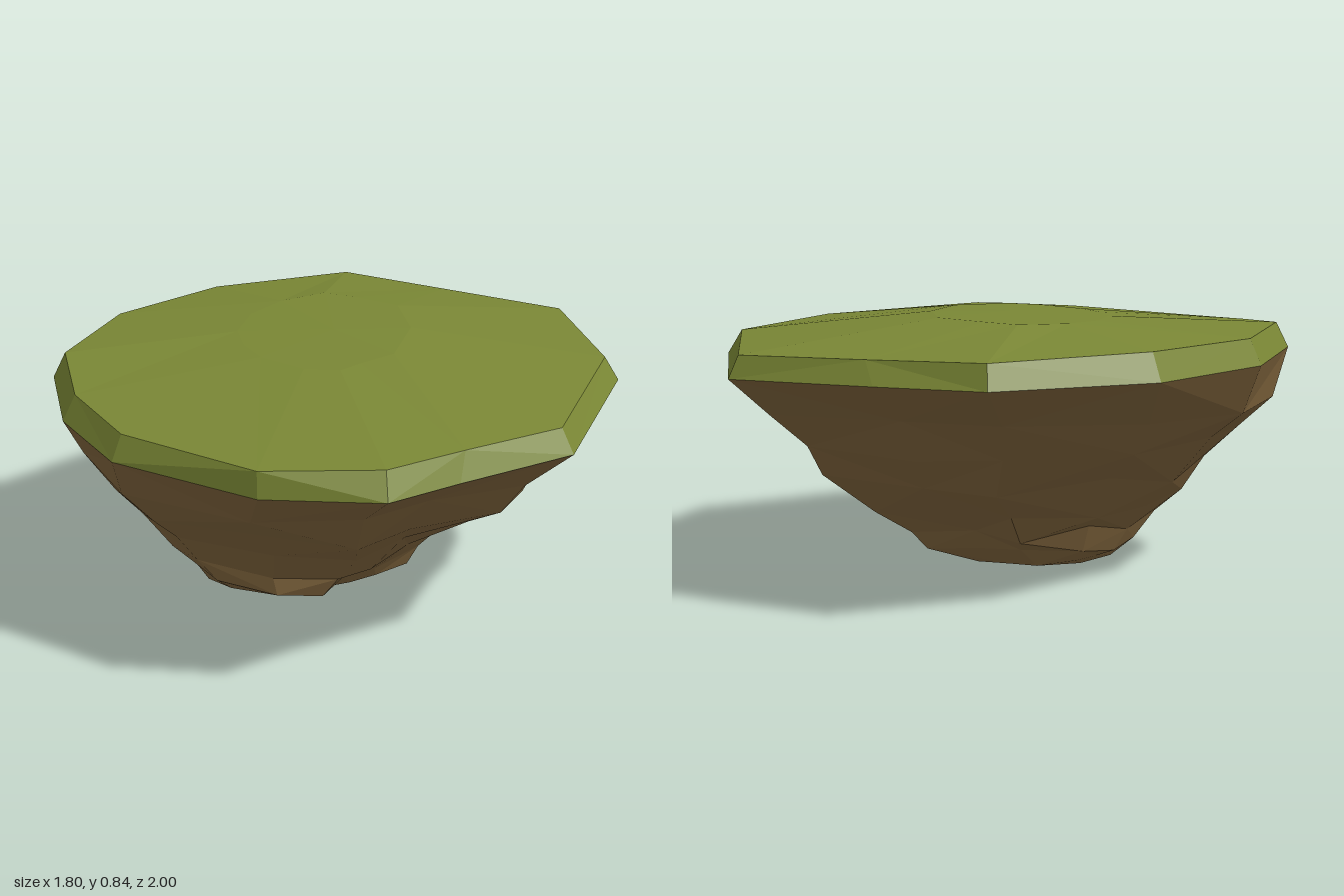
import * as THREE from 'three';

// Rim outline: x, z, lower edge y, upper edge x, upper edge z, upper edge y
const RIM = [
  [0.13, -1.0, 0.70, 0.13, -0.97, 0.775], [0.44, -0.82, 0.695, 0.46, -0.76, 0.765],
  [0.86, -0.53, 0.685, 0.83, -0.52, 0.755], [0.9, 0.07, 0.70, 0.855, 0.06, 0.775],
  [0.62, 0.69, 0.70, 0.59, 0.655, 0.772], [0.26, 0.87, 0.70, 0.28, 0.82, 0.78],
  [0.04, 1.0, 0.705, 0.04, 0.955, 0.785], [-0.31, 0.915, 0.695, -0.31, 0.905, 0.775],
  [-0.71, 0.59, 0.69, -0.68, 0.57, 0.768], [-0.86, 0.27, 0.70, -0.82, 0.26, 0.78],
  [-0.90, -0.08, 0.72, -0.86, -0.08, 0.80], [-0.72, -0.52, 0.71, -0.69, -0.50, 0.79],
  [-0.37, -0.83, 0.70, -0.35, -0.80, 0.785],
];

// Rock levels: y, min x, max x, min z, max z, then lowest and highest x + z (cut corners)
const LEVELS = [
  [0.56, -0.85, 0.77, -0.77, 0.81, -1.2, 1.13], [0.44, -0.75, 0.67, -0.62, 0.67, -0.92, 0.93],
  [0.33, -0.65, 0.61, -0.47, 0.53, -0.72, 0.72], [0.22, -0.57, 0.45, -0.32, 0.41, -0.56, 0.42],
  [0.14, -0.49, 0.33, -0.24, 0.40, -0.45, 0.30], [0.07, -0.44, 0.28, -0.17, 0.24, -0.39, 0.24],
  [0.025, -0.35, 0.11, -0.11, 0.11, -0.32, 0.08],
];

function seeded(seed) {
  return () => {
    seed = (seed * 16807) % 2147483647;
    return seed / 2147483647 * 2 - 1;
  };
}

// Joins rings of points from top to bottom; optional end points close them
function skin(rings, topPoint, bottomPoint) {
  const out = [];
  const n = rings[0].length;
  const tri = (a, b, c) => out.push(...a, ...b, ...c);
  for (let i = 0; i < n; i++) {
    const j = (i + 1) % n;
    for (let k = 0; k < rings.length - 1; k++) {
      const a = rings[k][i], b = rings[k][j], c = rings[k + 1][i], d = rings[k + 1][j];
      if ((i + k) % 2) { tri(a, b, c); tri(b, d, c); }
      else { tri(a, b, d); tri(a, d, c); }
    }
    if (topPoint) tri(topPoint, rings[0][j], rings[0][i]);
    const last = rings[rings.length - 1];
    if (bottomPoint) tri(last[i], last[j], bottomPoint);
  }
  const geo = new THREE.BufferGeometry();
  geo.setAttribute('position', new THREE.Float32BufferAttribute(out, 3));
  geo.computeVertexNormals();
  return geo;
}

function part(name, geo, color) {
  const mesh = new THREE.Mesh(geo, new THREE.MeshStandardMaterial({ color, flatShading: true }));
  mesh.name = name;
  return mesh;
}

export function createModel() {
  const group = new THREE.Group();
  group.name = 'floatingIsland';

  // Grass slab: gentle mound, bevelled rim
  const lower = RIM.map(([x, z, y]) => [x, y, z]);
  const upper = RIM.map(r => [r[3], r[5], r[4]]);
  const mound = RIM.map(([x, z]) => [x * 0.31 - 0.03, 0.837 + x * 0.008, z * 0.4 - 0.12]);
  group.add(part('grassTop', skin([mound, upper, lower], [0, 0.843, -0.1]), 0x7a8735));

  // Rock: the rim outline shrinking downwards with rough offsets, one column per rim corner
  const rand = seeded(4711);
  const rings = LEVELS.map(([y, x0, x1, z0, z1, low, high]) => lower.map(([px, , pz]) => {
    const rough = 1 + rand() * 0.025;
    const x = (x0 + x1) / 2 + px / 0.9 * (x1 - x0) / 2 * rough;
    const z = (z0 + z1) / 2 + pz * (z1 - z0) / 2 * rough;
    const cut = (x + z - THREE.MathUtils.clamp(x + z, low, high)) / 2;
    return [x - cut, y + rand() * Math.min(0.025, y * 0.3), z - cut];
  }));
  group.add(part('rockUnderside', skin([lower, ...rings], null, [-0.24, 0, 0]), 0x84683f));

  return group;
}
